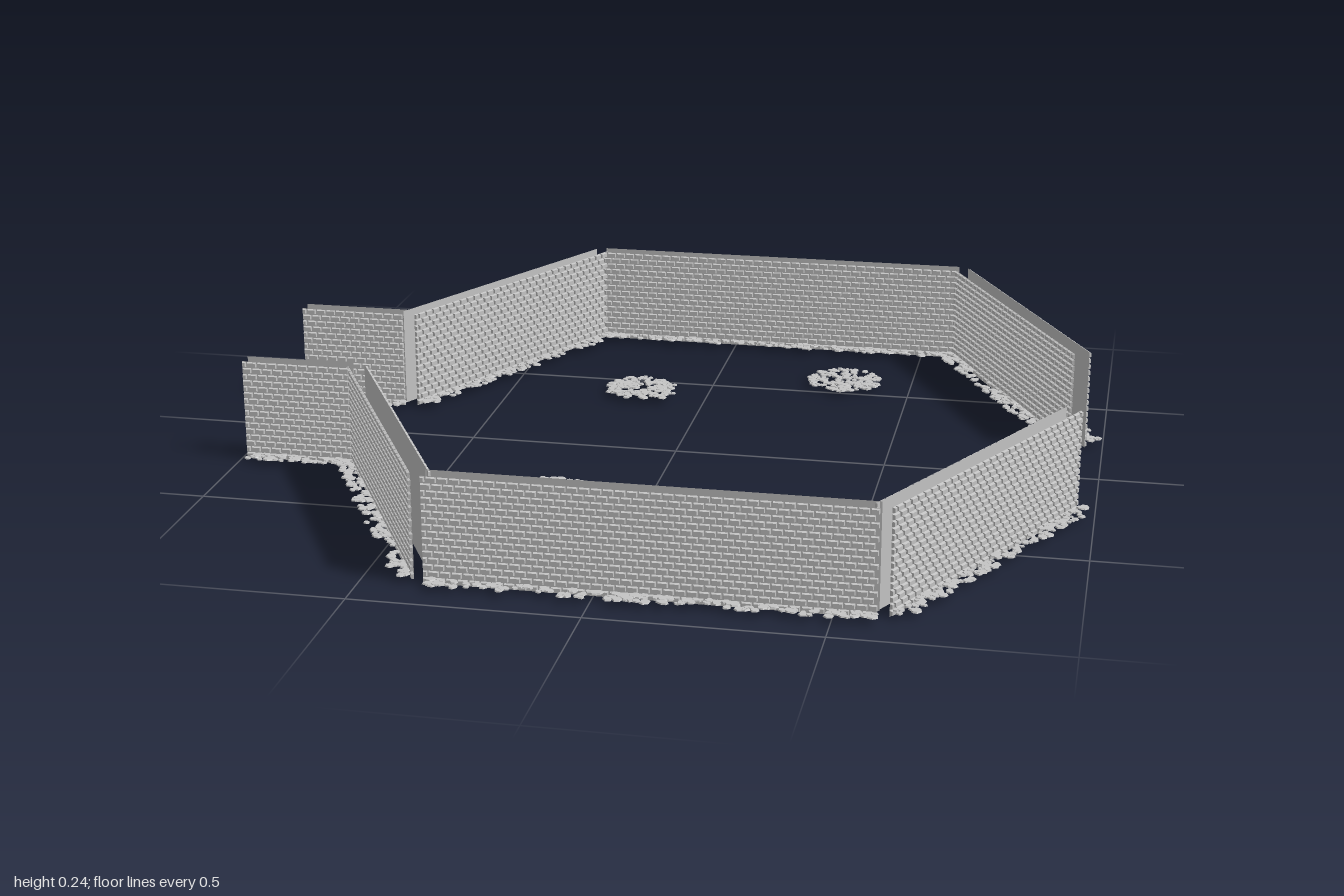
import * as THREE from 'three';
import { mergeGeometries } from 'three/addons/utils/BufferGeometryUtils.js';

// double-sided because the brick sheets are open at the back
const stone = new THREE.MeshStandardMaterial({ color: 0xc4c4c4, side: THREE.DoubleSide });
stone.name = 'stoneGrey';

const HEIGHT = 0.24, COURSES = 16, BRICK = 0.025, GAP = 0.003, BEVEL = 0.0015;

// small seeded random
let seed = 7;
const rnd = () => {
  seed = (seed * 1664525 + 1013904223) % 4294967296;
  return seed / 4294967296;
};

function mesh(name, geo) {
  const m = new THREE.Mesh(geo, stone);
  m.name = name;
  return m;
}

// brick with a bevelled front and an open back
function brick(w, h) {
  const g = new THREE.BoxGeometry(w, h, 0.006);
  const p = g.attributes.position;
  for (let i = 0; i < p.count; i++) {
    if (p.getZ(i) < 0) continue;
    p.setX(i, p.getX(i) - Math.sign(p.getX(i)) * BEVEL);
    p.setY(i, p.getY(i) - Math.sign(p.getY(i)) * BEVEL);
  }
  g.setIndex(Array.from(g.index.array).slice(0, 30));
  g.computeVertexNormals();
  return g;
}

// sheet of brickwork along x, outside towards +z
function brickSkin(length) {
  const pitch = HEIGHT / COURSES;
  // bed sheet behind the bricks
  const parts = [new THREE.PlaneGeometry(length, HEIGHT).translate(0, HEIGHT / 2, 0.0185)];
  for (let r = 0; r < COURSES; r++) {
    const shift = r % 2 ? BRICK / 2 : 0;
    for (let s = -length / 2 - shift; s < length / 2 - 0.004; s += BRICK) {
      const x0 = Math.max(s, -length / 2);
      const x1 = Math.min(s + BRICK - GAP, length / 2);
      if (x1 - x0 < 0.005) continue;
      parts.push(brick(x1 - x0, pitch - GAP).translate((x0 + x1) / 2, (r + 0.5) * pitch, 0.0215));
    }
  }
  return mesh('brickSkin', mergeGeometries(parts));
}

// flat six-sided pebbles at the given [x, z] spots
function pebbles(name, spots) {
  const parts = spots.map(([x, z]) => {
    const r = 0.006 + rnd() * 0.006;
    return new THREE.CylinderGeometry(r * 0.85, r, 0.003, 6).toNonIndexed()
      .scale(0.75 + rnd() * 0.5, 1, 1)
      .rotateY(rnd() * Math.PI)
      .translate(x, 0.015 + (rnd() - 0.5) * 0.002, z);
  });
  const geo = mergeGeometries(parts);
  geo.computeVertexNormals();
  return mesh(name, geo);
}

// two brick skins back to back, with loose stones along both feet
function wall(name, [ax, az], [bx, bz]) {
  const dx = bx - ax, dz = bz - az, length = Math.hypot(dx, dz);
  const g = new THREE.Group();
  g.name = name;
  const spots = [];
  for (const side of [1, -1]) {
    const skin = brickSkin(length);
    if (side < 0) skin.rotation.y = Math.PI;
    g.add(skin);
    for (let i = 0; i < length * 165; i++) {
      spots.push([(rnd() - 0.5) * length, side * (0.029 + 0.034 * Math.pow(rnd(), 1.2))]);
    }
  }
  g.add(pebbles('wallFootStones', spots));
  g.position.set((ax + bx) / 2, 0, (az + bz) / 2);
  g.rotation.y = Math.atan2(-dz, dx);
  return g;
}

export function createModel() {
  seed = 7;
  const model = new THREE.Group();
  model.name = 'walledEnclosure';

  // mirrored front and back halves of the enclosure
  for (const [label, s] of [['front', 1], ['back', -1]]) {
    model.add(wall(label + 'EntranceWall', [-0.99, s * 0.217], [-0.73, s * 0.217]));
    model.add(wall(label + 'RightWall', [-0.718, s * 0.212], [-0.372, s * 0.868]));
    model.add(wall(label + 'LongWall', [-0.365, s * 0.869], [0.59, s * 0.869]));
    model.add(wall(label + 'LeftWall', [0.597, s * 0.868], [0.941, s * 0.204]));
  }

  // round stone patches on the ground
  const patches = [[-0.165, -0.405], [0.33, -0.565], [-0.215, 0.355], [0.31, 0.535]];
  for (const [px, pz] of patches) {
    const spots = [];
    for (let i = 0; i < 170; i++) {
      const a = rnd() * Math.PI * 2, d = 0.01 + 0.08 * Math.pow(rnd(), 0.6);
      spots.push([px + Math.cos(a) * d, pz + Math.sin(a) * d]);
    }
    model.add(pebbles('stonePatch', spots));
  }
  return model;
}
